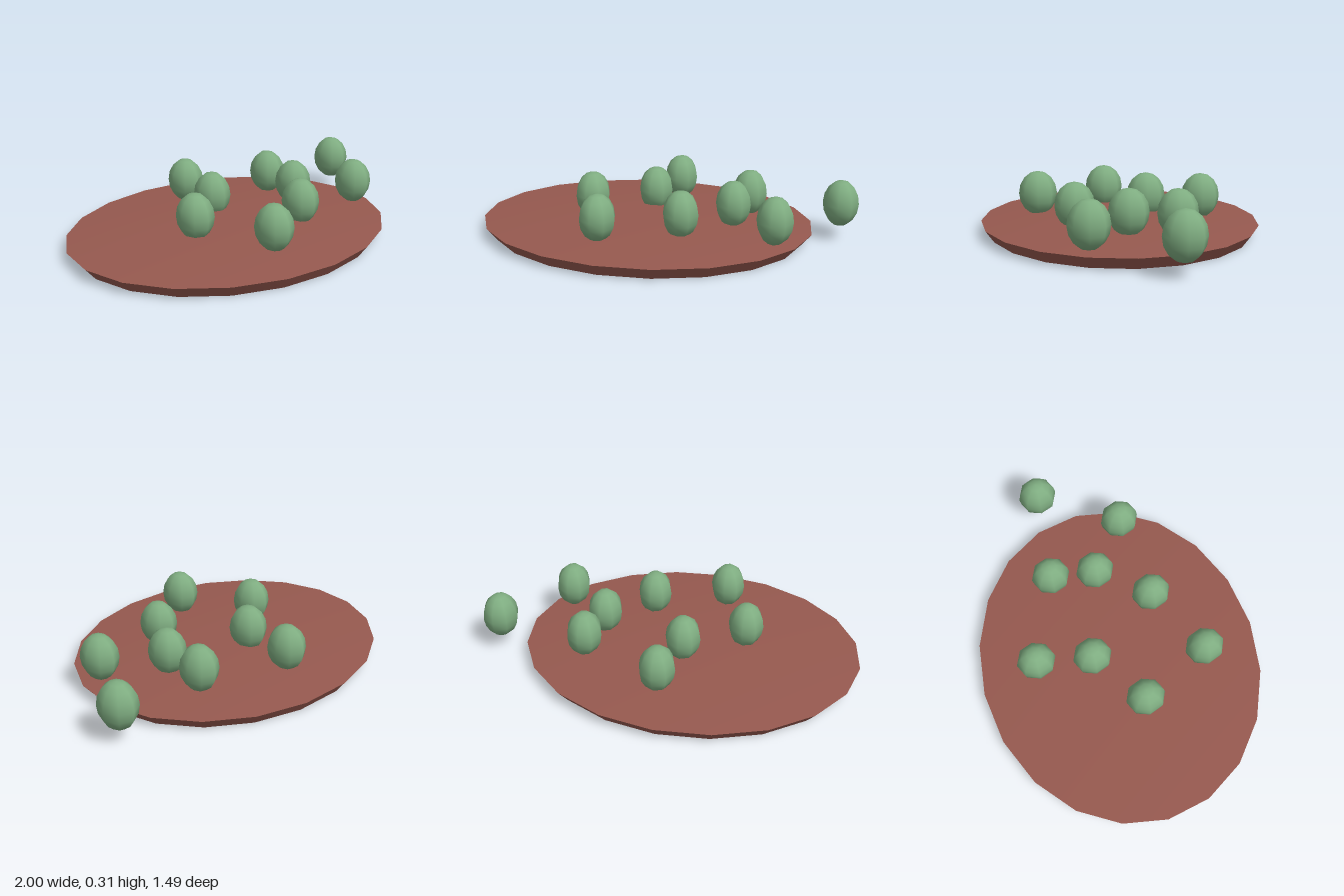
import * as THREE from 'three';
import { toCreasedNormals } from 'three/addons/utils/BufferGeometryUtils.js';

export function createModel() {
  const model = new THREE.Group();

  const brown = new THREE.MeshStandardMaterial({ color: 0x96594f });
  brown.name = 'reddish brown';
  const green = new THREE.MeshStandardMaterial({ color: 0x7fad81 });
  green.name = 'soft green';

  // Shallow oval base: flat underside, flared rim, low conical top
  const profile = [[0, 0], [0.94, 0], [1, 0.062], [0, 0.12]]
    .map(([r, y]) => new THREE.Vector2(r, y));
  const baseGeometry = new THREE.LatheGeometry(profile, 20);
  baseGeometry.scale(0.895, 1, 0.746);
  const base = new THREE.Mesh(toCreasedNormals(baseGeometry, 0.5), brown);
  base.name = 'ovalBase';
  base.position.x = -0.105;
  model.add(base);

  // Upright egg-shaped pods scattered over the base, one beyond its edge
  const podGeometry = new THREE.SphereGeometry(1, 8, 8);
  podGeometry.scale(0.093, 0.122, 0.104);
  const podPositions = [
    [-0.04, -0.435], [-0.095, -0.145], [-0.385, 0.06],
    [0.41, -0.24], [0.377, 0], [0.64, 0.213],
    [0.17, 0.255], [-0.205, 0.438], [0.905, -0.188],
  ];
  const pods = new THREE.Group();
  pods.name = 'pods';
  podPositions.forEach(([x, z], i) => {
    const pod = new THREE.Mesh(podGeometry, green);
    pod.name = `pod${i + 1}`;
    pod.position.set(x, 0.19, z);
    pods.add(pod);
  });
  model.add(pods);

  return model;
}
